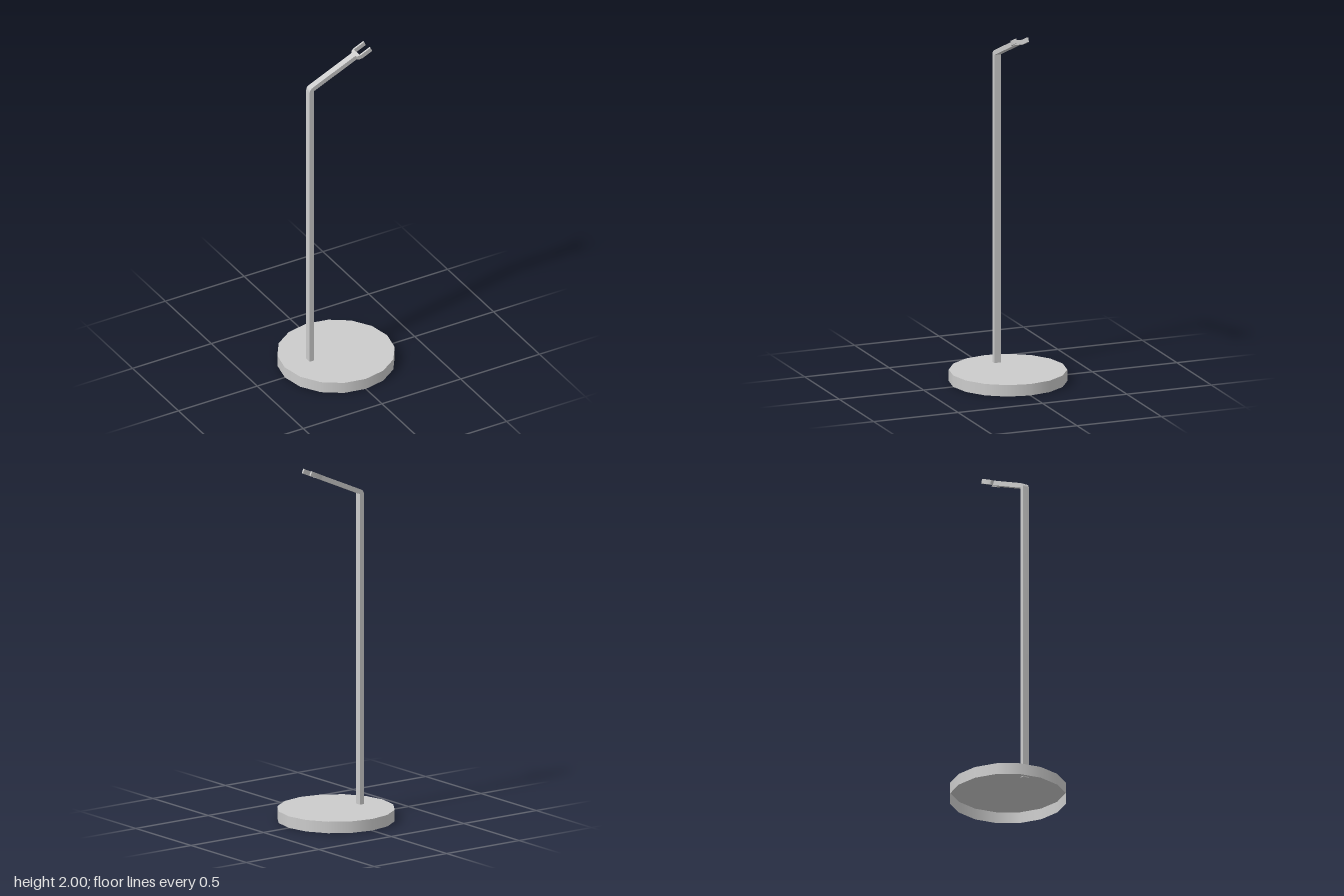
import * as THREE from 'three';
import { toCreasedNormals } from 'three/addons/utils/BufferGeometryUtils.js';

const material = new THREE.MeshStandardMaterial({ color: 0xcccccc });
const shellMaterial = new THREE.MeshStandardMaterial({ color: 0xcccccc, side: THREE.DoubleSide });

// Extrude an outline, centred on its depth axis, smooth only round gentle bends
function plate(points, depth) {
  const shape = new THREE.Shape(points.map(([x, y]) => new THREE.Vector2(x, y)));
  const geometry = new THREE.ExtrudeGeometry(shape, { depth, bevelEnabled: false });
  return toCreasedNormals(geometry.translate(0, 0, -depth / 2), 0.6);
}

export function createModel() {
  const group = new THREE.Group();
  const add = (name, geometry, surface = material) => {
    const mesh = new THREE.Mesh(geometry, surface);
    mesh.name = name;
    group.add(mesh);
  };

  const slope = THREE.MathUtils.degToRad(24);
  const thick = 0.026, halfWidth = 0.019;
  const tip = new THREE.Vector2(0.201, 1.988);
  const u = new THREE.Vector2(Math.cos(slope), Math.sin(slope));
  const forkLength = 0.093;

  // Point at distance d along the sloping arm from its tip, offset n across it
  const onArm = (d, n) => [tip.x + u.x * d - u.y * n, tip.y + u.y * d + u.x * n];
  // Point on the arm's face at offset n that has the given x
  const armAtX = (x, n) => onArm((x - tip.x + u.y * n) / u.x, n);

  // Sixteen-sided base: a thin shell, hollow underneath
  const radius = 0.325, baseHeight = 0.065;
  const rim = new THREE.CylinderGeometry(radius, radius, baseHeight, 16, 1, true);
  add('baseRim', rim.translate(0, baseHeight / 2, 0), shellMaterial);
  const top = new THREE.CircleGeometry(radius, 16);
  add('baseTop', top.rotateX(-Math.PI / 2).translate(0, baseHeight, 0), shellMaterial);

  // Post and arm bent from one flat bar, with a rounded elbow;
  // its foot just passes through the base top
  const xOut = -0.178, xIn = -0.151, h = thick / 2, foot = baseHeight - 0.004;
  const elbow = new THREE.QuadraticBezierCurve(
    new THREE.Vector2(...armAtX(-0.157, h)),
    new THREE.Vector2(...armAtX(xOut, h)),
    new THREE.Vector2(xOut, 1.815),
  ).getPoints(4).map((p) => p.toArray());
  add('postAndArm', plate([
    [xOut, foot], [xIn, foot], armAtX(xIn, -h),
    onArm(-forkLength, -h), onArm(-forkLength, h),
    ...elbow,
  ], halfWidth * 2));

  // Two-pronged fork at the end of the arm
  const side = [
    [-forkLength, halfWidth], [-0.086, 0.033], [-0.067, 0.04],
    [0, 0.04], [0, 0.0295], [-0.071, 0.0295],
  ];
  const mirrored = side.map(([x, y]) => [x, -y]).reverse();
  const fork = plate([...side, ...mirrored], thick);
  fork.rotateX(Math.PI / 2).rotateZ(slope).translate(tip.x, tip.y, 0);
  add('fork', fork);

  return group;
}
